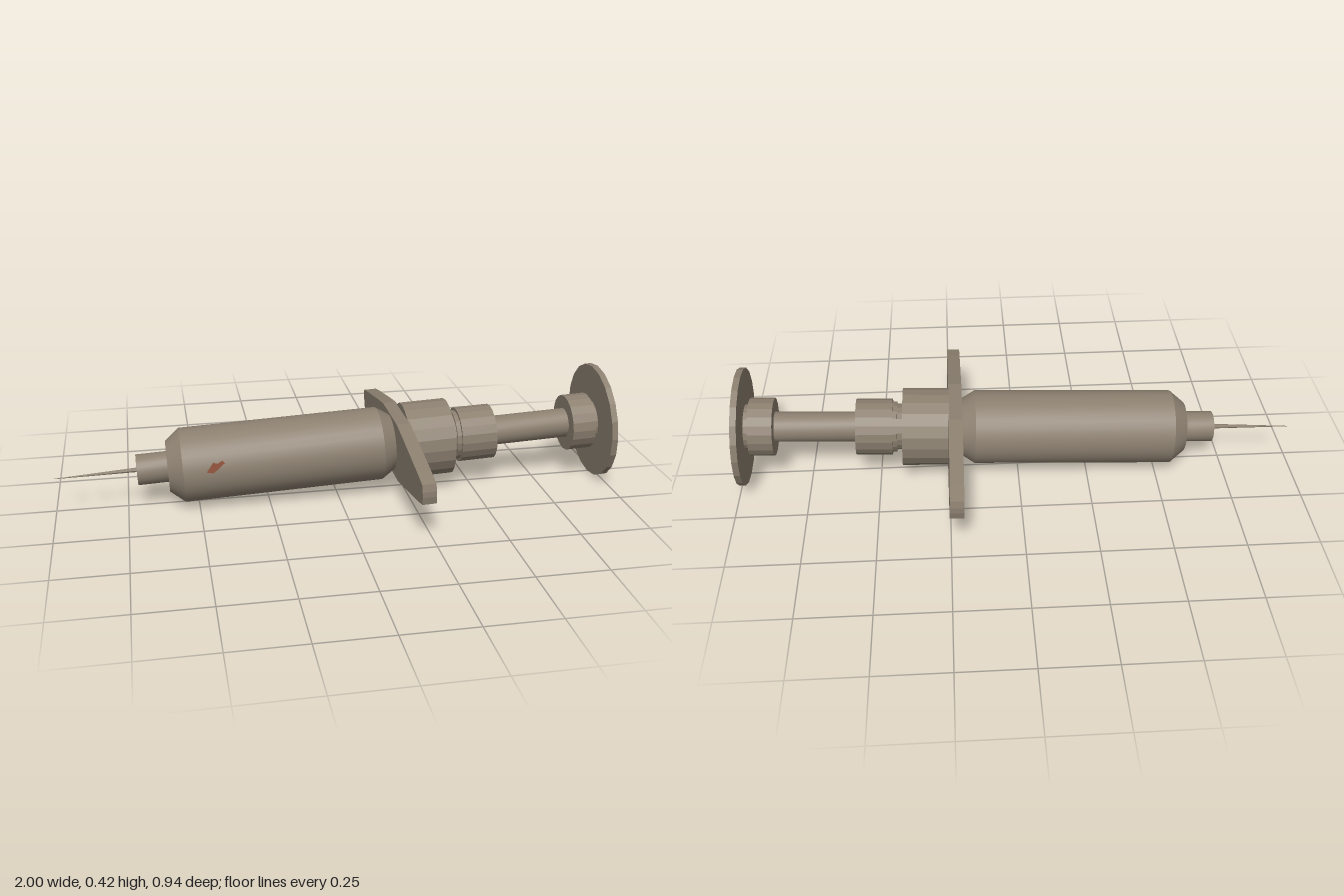
import * as THREE from 'three';
import { toCreasedNormals } from 'three/addons/utils/BufferGeometryUtils.js';

export function createModel() {
  const model = new THREE.Group();
  model.name = 'syringe';
  const metal = new THREE.MeshStandardMaterial({ color: 0x8c8070 });
  metal.name = 'dull metal';
  const rust = new THREE.MeshStandardMaterial({ color: 0x8a4a30, side: THREE.DoubleSide });
  rust.name = 'rust';

  // Everything is built along the x axis, then tilted so it rests on barrel and plunger
  const axis = new THREE.Group();
  axis.name = 'tiltedAxis';
  axis.rotation.z = 0.0437;
  axis.position.y = 0.17;
  model.add(axis);

  function add(name, geometry, material = metal) {
    const mesh = new THREE.Mesh(geometry, material);
    mesh.name = name;
    axis.add(mesh);
    return mesh;
  }

  // Closed turned part from [x, radius] pairs; coarse ones stay faceted
  function turned(name, sides, profile) {
    const ends = [[profile[0][0], 0], ...profile, [profile[profile.length - 1][0], 0]];
    const points = ends.map(([x, r]) => new THREE.Vector2(r, x));
    const geometry = new THREE.LatheGeometry(points, sides).rotateZ(-Math.PI / 2);
    add(name, toCreasedNormals(geometry, 0.3));
  }

  turned('needle', 8, [[-1, 0.001], [-0.705, 0.009]]);
  turned('nozzle', 24, [[-0.713, 0.055], [-0.595, 0.055]]);
  turned('barrel', 32, [[-0.606, 0.09], [-0.555, 0.132], [0.155, 0.132], [0.205, 0.1]]);
  turned('hub', 20, [[0.2, 0.1], [0.26, 0.1]]);
  turned('collar', 20, [[0.248, 0.138], [0.412, 0.138]]);
  turned('neck', 20, [[0.4, 0.082], [0.44, 0.082]]);
  turned('ringLip', 20, [[0.432, 0.09], [0.45, 0.09]]);
  turned('ring', 20, [[0.448, 0.1], [0.577, 0.1]]);
  turned('plungerRod', 24, [[0.57, 0.054], [0.87, 0.054]]);
  turned('plungerCap', 20, [[0.865, 0.103], [0.951, 0.103]]);
  turned('plungerNeck', 20, [[0.945, 0.08], [0.97, 0.08]]);
  turned('thumbDisc', 20, [[0.968, 0.21], [0.99, 0.21]]);

  // Finger wings: one mirrored outline, extruded along the axis
  const half = [[0.08, 0.11], [0.11, 0.11], [0.2, 0.093], [0.4, 0.052], [0.466, 0.036], [0.471, 0.01]];
  const right = [...half, ...half.map(([z, y]) => [z, -y]).reverse()];
  const outline = [...right, ...right.map(([z, y]) => [-z, -y])];
  const wings = new THREE.ExtrudeGeometry(
    new THREE.Shape(outline.map(([z, y]) => new THREE.Vector2(z, y))),
    { depth: 0.048, bevelEnabled: false });
  wings.rotateY(Math.PI / 2).translate(0.202, 0, 0);
  add('fingerWings', wings);

  // Thin rust marks
  function mark(name, points) {
    const shape = new THREE.Shape(points.map(([a, b]) => new THREE.Vector2(a, b)));
    return add(name, new THREE.ShapeGeometry(shape), rust);
  }
  const barrelMark = mark('barrelRust', [[-0.035, -0.014], [-0.012, -0.02], [0.03, 0.012],
    [0.022, 0.022], [0.004, 0.012], [-0.01, 0.018]]);
  const tilt = 0.24;
  barrelMark.position.set(-0.44, 0.1345 * Math.sin(tilt), 0.1345 * Math.cos(tilt));
  barrelMark.rotation.x = -tilt;
  for (const [z, y, w, h] of [[-0.295, 0.02, 0.015, 0.006], [-0.265, -0.068, 0.025, 0.008]]) {
    const wingMark = mark('wingRust', [[-w, -h], [w, -h * 0.3], [w * 0.8, h], [-w * 0.4, h * 0.5]]);
    wingMark.position.set(0.2515, y, z);
    wingMark.rotation.y = Math.PI / 2;
  }
  return model;
}
